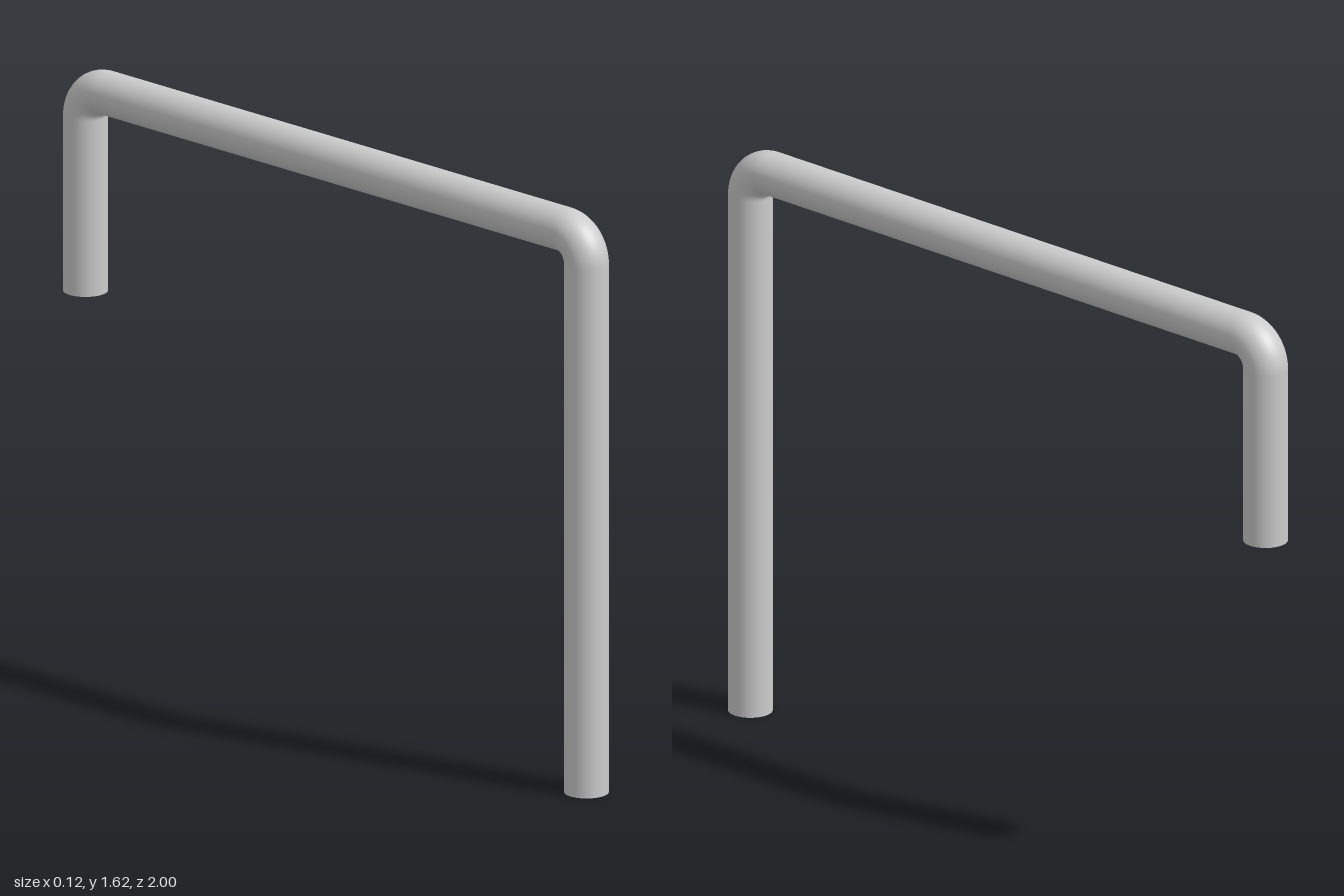
import * as THREE from 'three';

const R = 0.06;        // rod radius
const BEND = 0.08;     // centreline radius of the bends
const TOP = 1.555;     // height of the rail's centreline
const REACH = 0.94;    // distance of each leg from the middle
const SIDES = 32;

export function createModel() {
  const group = new THREE.Group();
  const material = new THREE.MeshStandardMaterial({ color: 0xcccccc });
  const add = (name, geometry, y, z) => {
    const mesh = new THREE.Mesh(geometry, material);
    mesh.name = name;
    mesh.position.set(0, y, z);
    group.add(mesh);
  };
  const rod = (length) => new THREE.CylinderGeometry(R, R, length, SIDES, 1, true);

  // Horizontal rail between the bends
  add('rail', rod(2 * (REACH - BEND)).rotateX(Math.PI / 2), TOP, 0);

  // Long front leg and short back leg, each with a bend and a flat end
  for (const [name, side, foot] of [['front', 1, 0], ['back', -1, 0.985]]) {
    const bendY = TOP - BEND;
    add(name + 'Leg', rod(bendY - foot), (bendY + foot) / 2, side * REACH);
    add(name + 'LegEnd', new THREE.CircleGeometry(R, SIDES).rotateX(Math.PI / 2), foot, side * REACH);
    const bend = new THREE.TorusGeometry(BEND, R, SIDES, 16, Math.PI / 2);
    add(name + 'Bend', bend.rotateY(-side * Math.PI / 2), bendY, side * (REACH - BEND));
  }
  return group;
}
